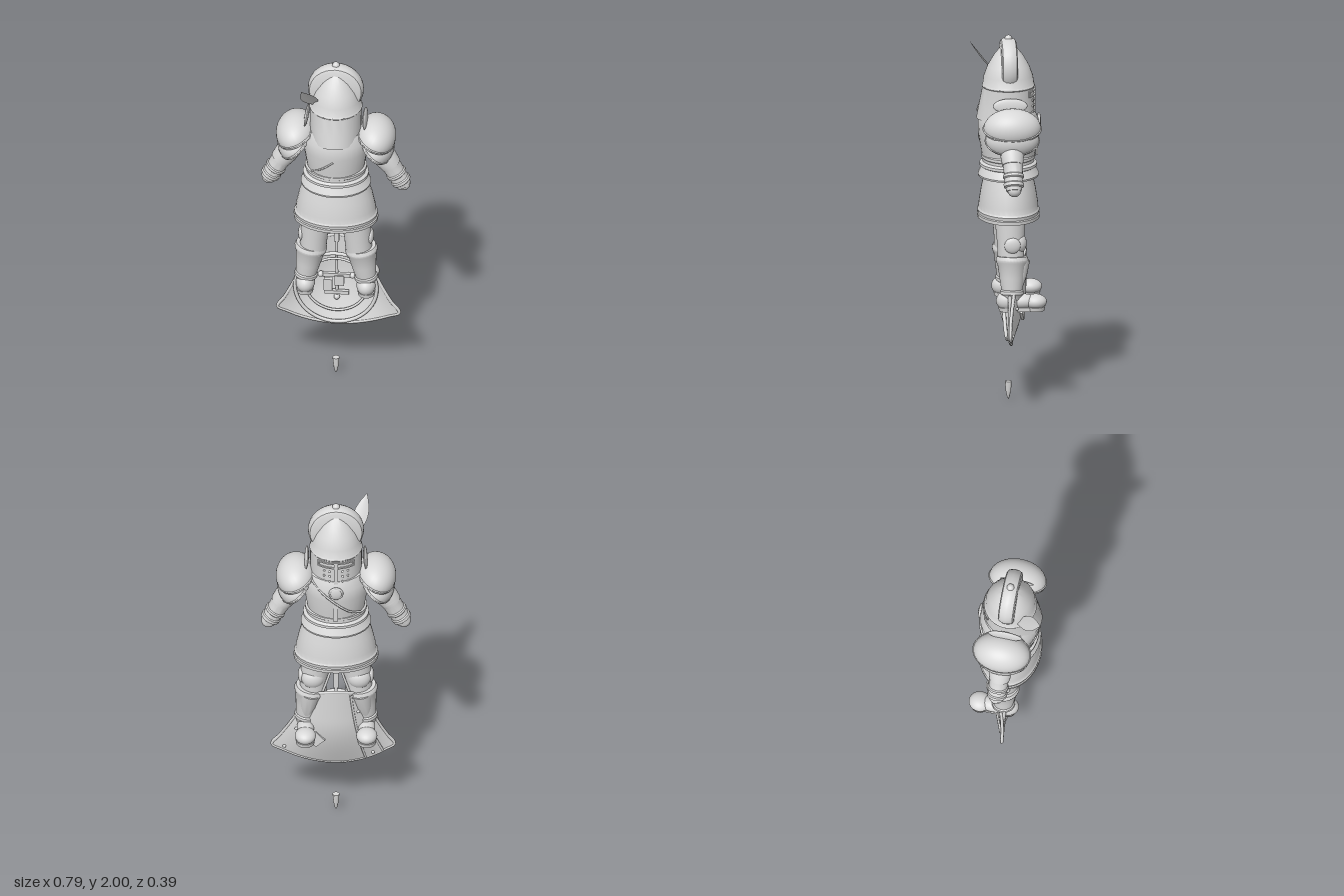
import * as THREE from 'three';
import { toCreasedNormals } from 'three/addons/utils/BufferGeometryUtils.js';

export function createModel() {
  const root = new THREE.Group();
  root.name = 'armouredKnight';
  const steel = new THREE.MeshStandardMaterial({ color: 0xd8d8d8, side: THREE.DoubleSide });
  steel.name = 'steel';

  const add = (name, geo, x = 0, y = 0, z = 0) => {
    const m = new THREE.Mesh(geo, steel);
    m.name = name;
    m.position.set(x, y, z);
    root.add(m);
    return m;
  };
  const lathe = pts => toCreasedNormals(
    new THREE.LatheGeometry(pts.map(p => new THREE.Vector2(p[0], p[1])), 32), 0.6);
  // Ellipsoid, or the top cap of one when theta is under a half turn
  const ball = (name, x, y, z, rx, ry = rx, rz = rx, theta = Math.PI) => {
    const m = add(name, new THREE.SphereGeometry(1, 28, 18, 0, Math.PI * 2, 0, theta), x, y, z);
    m.scale.set(rx, ry, rz);
    return m;
  };
  const box = (name, w, h, d, x, y, z) => add(name, new THREE.BoxGeometry(w, h, d), x, y, z);
  const tube = (name, pts, r, closed = false) => add(name, new THREE.TubeGeometry(
    new THREE.CatmullRomCurve3(pts.map(p => new THREE.Vector3(...p)), closed, 'centripetal'), pts.length * 5, r, 6, closed));
  // Turned limb running from a to b; profile pairs are radius and fraction along it
  const limb = (name, a, b, profile) => {
    const from = new THREE.Vector3(...a), dir = new THREE.Vector3(...b).sub(from), len = dir.length();
    const m = add(name, lathe(profile.map(p => [p[0], p[1] * len])), ...a);
    m.quaternion.setFromUnitVectors(new THREE.Vector3(0, 1, 0), dir.normalize());
    return m;
  };

  // Helmet, drawn out into a neck guard at +z
  const helmetGeo = lathe([[0.138, 1.55], [0.138, 1.62], [0.138, 1.72], [0.141, 1.724], [0.141, 1.73],
    [0.137, 1.735], [0.131, 1.78], [0.11, 1.835], [0.078, 1.89], [0.04, 1.938], [0, 1.965]]);
  const hp = helmetGeo.attributes.position;
  for (let i = 0; i < hp.count; i++) {
    const t = Math.max(0, (1.72 - hp.getY(i)) / 0.17);
    if (hp.getZ(i) > 0) hp.setZ(i, hp.getZ(i) * (1 + 0.24 * t));
  }
  add('helmet', toCreasedNormals(helmetGeo, 0.6));

  // Disc crest running side to side, with a finial
  const crest = add('crest', lathe([[0, -0.042], [0.125, -0.042], [0.138, -0.036], [0.146, -0.02], [0.149, 0],
    [0.146, 0.02], [0.138, 0.036], [0.125, 0.042], [0, 0.042]]), 0, 1.835, 0);
  crest.rotation.x = Math.PI / 2;
  ball('crestFinial', 0, 1.98, 0, 0.02);

  // Visor bars and breathing studs
  const onVisor = (name, a, y, w, h) => {
    const m = box(name, w, h, 0.012, -Math.sin(a) * 0.139, y, -Math.cos(a) * 0.139);
    m.rotation.y = a;
  };
  for (let i = -4; i <= 4; i++) {
    onVisor('visorUpperEdge', i * 0.16, 1.708, 0.023, 0.008);
    onVisor('visorLowerEdge', i * 0.16, 1.68, 0.023, 0.008);
  }
  onVisor('visorRidge', 0, 1.64, 0.022, 0.15);
  for (const s of [-1, 1]) {
    onVisor('visorSide', s * 0.72, 1.694, 0.01, 0.036);
    for (let i = 0; i < 6; i++) {
      const a = s * (0.25 + 0.22 * (i % 2)), y = 1.655 - 0.032 * Math.floor(i / 2);
      ball('visorStud', Math.sin(a) * 0.139, y, -Math.cos(a) * 0.139, 0.006);
    }
  }

  // Feather: a creased leaf leaning outwards
  const featherGeo = new THREE.PlaneGeometry(1, 1, 4, 12);
  const fp = featherGeo.attributes.position;
  for (let i = 0; i < fp.count; i++) {
    const u = fp.getX(i) * 2, v = fp.getY(i) + 0.5;
    const w = 0.042 * Math.sin(Math.PI * (0.06 + v * 0.94));
    fp.setXYZ(i, -0.1 - 0.066 * v + u * w * 0.9, 1.755 + 0.175 * v + u * w * 0.3,
      0.05 + 0.145 * v + Math.abs(u) * w * 0.15);
  }
  featherGeo.computeVertexNormals();
  add('feather', featherGeo);

  // Cuirass, waist plates and skirt, all oval in plan
  const torso = add('cuirass', lathe([[0.15, 1.33], [0.157, 1.38], [0.172, 1.47], [0.174, 1.54],
    [0.15, 1.59], [0.09, 1.62], [0, 1.62]]));
  torso.scale.z = 0.93;
  add('waistPlates', lathe([[0.185, 1.235], [0.187, 1.245], [0.165, 1.285], [0.175, 1.29], [0.175, 1.305],
    [0.158, 1.315], [0.158, 1.33], [0.165, 1.335], [0.165, 1.35], [0.15, 1.36]])).scale.z = 0.87;
  add('skirt', lathe([[0.21, 1.015], [0.225, 1.01], [0.226, 1.028], [0.22, 1.033], [0.223, 1.05], [0.215, 1.06],
    [0.212, 1.09], [0.195, 1.17], [0.172, 1.245], [0, 1.25]])).scale.z = 0.74;

  // Chest medallion with hanging strap, and diagonal straps front and back
  ball('medallion', 0, 1.53, -0.163, 0.034, 0.037, 0.012);
  add('medallionRim', new THREE.TorusGeometry(0.032, 0.007, 8, 24), 0, 1.53, -0.163);
  box('medallionStrap', 0.026, 0.15, 0.012, 0.003, 1.42, -0.152);
  tube('chestStrap', [[-0.13, 1.36, -0.09], [-0.07, 1.4, -0.143], [0, 1.46, -0.162], [0.07, 1.52, -0.15], [0.13, 1.57, -0.09]], 0.006);
  tube('backStrap', [[-0.125, 1.35, 0.085], [-0.06, 1.405, 0.141], [0, 1.46, 0.158]], 0.005);

  for (const s of [-1, 1]) {
    // Shoulder armour: two caps sloping down and outwards, each with a rolled rim, and a neck fin
    for (const [name, x, y, rx, ry, rz, tilt] of [
      ['shoulderDome', 0.212, 1.54, 0.108, 0.106, 0.153, 0.42],
      ['shoulderLowerPlate', 0.213, 1.475, 0.098, 0.1, 0.142, 0.72]]) {
      ball(name, s * x, y, -0.004, rx, ry, rz, Math.PI * 0.54).rotation.z = -s * tilt;
      const rim = add(name + 'Rim', new THREE.TorusGeometry(1, 0.035, 8, 36), s * x, y, -0.004);
      rim.scale.set(rx, rz, 0.14);
      rim.rotation.set(Math.PI / 2, s * tilt, 0);
      rim.rotation.order = 'ZYX';
      rim.rotation.set(Math.PI / 2, 0, -s * tilt);
    }
    ball('neckFin', s * 0.156, 1.65, 0.002, 0.011, 0.039, 0.092).rotation.z = s * 0.15;

    // Arm, banded gauntlet and fist
    limb('upperArm', [s * 0.2, 1.5, 0], [s * 0.295, 1.36, 0], [[0, 0], [0.06, 0.1], [0.062, 0.7], [0.055, 1], [0, 1]]);
    limb('gauntlet', [s * 0.27, 1.4, -0.002], [s * 0.362, 1.235, -0.002], [[0, 0], [0.052, 0], [0.057, 0.12], [0.053, 0.2],
      [0.05, 0.5], [0.056, 0.53], [0.056, 0.6], [0.049, 0.63], [0.048, 0.75], [0.054, 0.78], [0.053, 0.87], [0.044, 0.9], [0.04, 1], [0, 1]]);
    ball('fist', s * 0.36, 1.24, -0.004, 0.036);

    // Thigh, knee, greave
    limb('thigh', [s * 0.124, 0.78, -0.005], [s * 0.1, 1.09, 0], [[0.07, 0], [0.072, 0.35], [0.08, 0.7], [0.083, 1]]);
    ball('kneeCap', s * 0.123, 0.89, -0.038, 0.062, 0.06, 0.05);
    ball('kneeWing', s * 0.184, 0.89, -0.008, 0.018, 0.043, 0.043);
    limb('greave', [s * 0.165, 0.59, -0.005], [s * 0.132, 0.82, -0.01], [[0.048, 0], [0.056, 0.1], [0.062, 0.13], [0.062, 0.2],
      [0.056, 0.23], [0.066, 0.5], [0.077, 0.8], [0.084, 0.86], [0.087, 0.92], [0.08, 1], [0, 1]]);
    limb('shinPlate', [s * 0.16, 0.64, -0.035], [s * 0.134, 0.8, -0.05], [[0, 0], [0.025, 0.05], [0.045, 0.5], [0.055, 1], [0, 1]]);

    // Boot with toe cap and sole
    ball('bootHeel', s * 0.162, 0.585, 0.014, 0.051, 0.054, 0.064);
    ball('bootInstep', s * 0.162, 0.58, -0.06, 0.046, 0.04, 0.08);
    ball('toeCap', s * 0.163, 0.577, -0.132, 0.056, 0.04, 0.06);
    for (const [z, r] of [[0.02, 0.046], [-0.132, 0.052]])
      add('solePad', new THREE.CylinderGeometry(r, r * 0.92, 0.022, 24), s * 0.163, 0.541, z);
    box('sole', 0.075, 0.022, 0.15, s * 0.163, 0.541, -0.06);
  }

  // Shield: hollow side at +z, broad curved foot and arched top that leans towards -z
  const onShield = (u, v, out = 0) => {
    const foot = 0.32 + 0.1 * u * u, top = 0.83 - 0.06 * u * u;
    const half = 0.325 - 0.24 * v + 0.07 * v * v;
    const bulge = 0.22 + 0.78 * Math.sin(Math.min(1, v * 1.6) * Math.PI / 2);
    return [u * half + 0.015 * u * u * (1 - v), foot + (top - foot) * v,
      0.02 - 0.105 * (1 - u * u * (1 - 0.45 * v)) * bulge - out];
  };
  const shieldPatch = (name, u0, u1, v0, v1, out) => {
    const g = new THREE.PlaneGeometry(1, 1, 20, 24), p = g.attributes.position;
    for (let i = 0; i < p.count; i++) {
      // u runs backwards so the outer face looks towards -z
      const u = THREE.MathUtils.lerp(u1, u0, p.getX(i) + 0.5), v = THREE.MathUtils.lerp(v0, v1, p.getY(i) + 0.5);
      p.setXYZ(i, ...onShield(u, v, out));
    }
    g.computeVertexNormals();
    return add(name, g);
  };
  shieldPatch('shieldFace', -1, 1, 0, 1, 0.01);
  shieldPatch('shieldBack', -1, 1, 0, 1, 0);
  shieldPatch('shieldBand', -0.8, -0.5, 0.01, 0.99, 0.018);
  const edge = [];
  for (let i = -6; i <= 6; i++) edge.push(onShield(i / 6, 0, 0.005));
  for (let i = 1; i <= 6; i++) edge.push(onShield(1, i / 6, 0.005));
  for (let i = 5; i >= -6; i--) edge.push(onShield(i / 6, 1, 0.005));
  for (let i = 5; i >= 1; i--) edge.push(onShield(-1, i / 6, 0.005));
  tube('shieldRim', edge, 0.009, true);
  for (const u of [-0.8, -0.5]) {
    const line = [];
    for (let i = 0; i <= 8; i++) line.push(onShield(u, 0.02 + i * 0.12, 0.014));
    tube('bandEdge', line, 0.007);
  }
  for (const v of [0.06, 0.4, 0.75]) {
    ball('shieldRivet', ...onShield(0.85, v, 0.012), 0.009);
    ball('bandRivet', ...onShield(-0.65, v, 0.02), 0.009);
  }
  const diamond = box('shieldDiamond', 0.07, 0.07, 0.015, ...onShield(0.42, 0.36, 0.014));
  diamond.rotation.set(0, -0.25, Math.PI / 4);

  // Inner ring, grip and stiffening rod in the hollow of the shield
  add('innerRing', new THREE.TorusGeometry(0.218, 0.01, 8, 48), 0, 0.555, 0.008);
  add('innerRingSmall', new THREE.TorusGeometry(0.165, 0.007, 8, 40), 0, 0.56, -0.015);
  limb('innerRod', [0, 0.44, -0.05], [0, 1.02, -0.03], [[0, 0], [0.008, 0], [0.008, 1], [0, 1]]);
  box('rodClasp', 0.028, 0.11, 0.02, 0, 0.88, -0.035);
  box('gripBar', 0.17, 0.022, 0.02, 0, 0.605, -0.04);
  box('gripFoot', 0.13, 0.02, 0.02, 0, 0.495, -0.04);
  box('gripBlock', 0.045, 0.07, 0.025, -0.045, 0.545, -0.035);
  box('gripPost', 0.05, 0.06, 0.025, 0.015, 0.575, -0.035);
  for (const s of [-1, 1]) {
    ball('gripKnob', s * 0.085, 0.605, -0.038, 0.016);
    tube('innerBrace', [[s * 0.075, 0.8, -0.06], [s * 0.035, 0.92, -0.045], [s * 0.006, 1.03, -0.03]], 0.007);
  }
  ball('gripStud', 0, 0.46, -0.045, 0.016);

  // Separate blade tip below
  add('bladeTip', lathe([[0, 0], [0.007, 0.015], [0.015, 0.052], [0.018, 0.1], [0, 0.1]]));
  return root;
}
